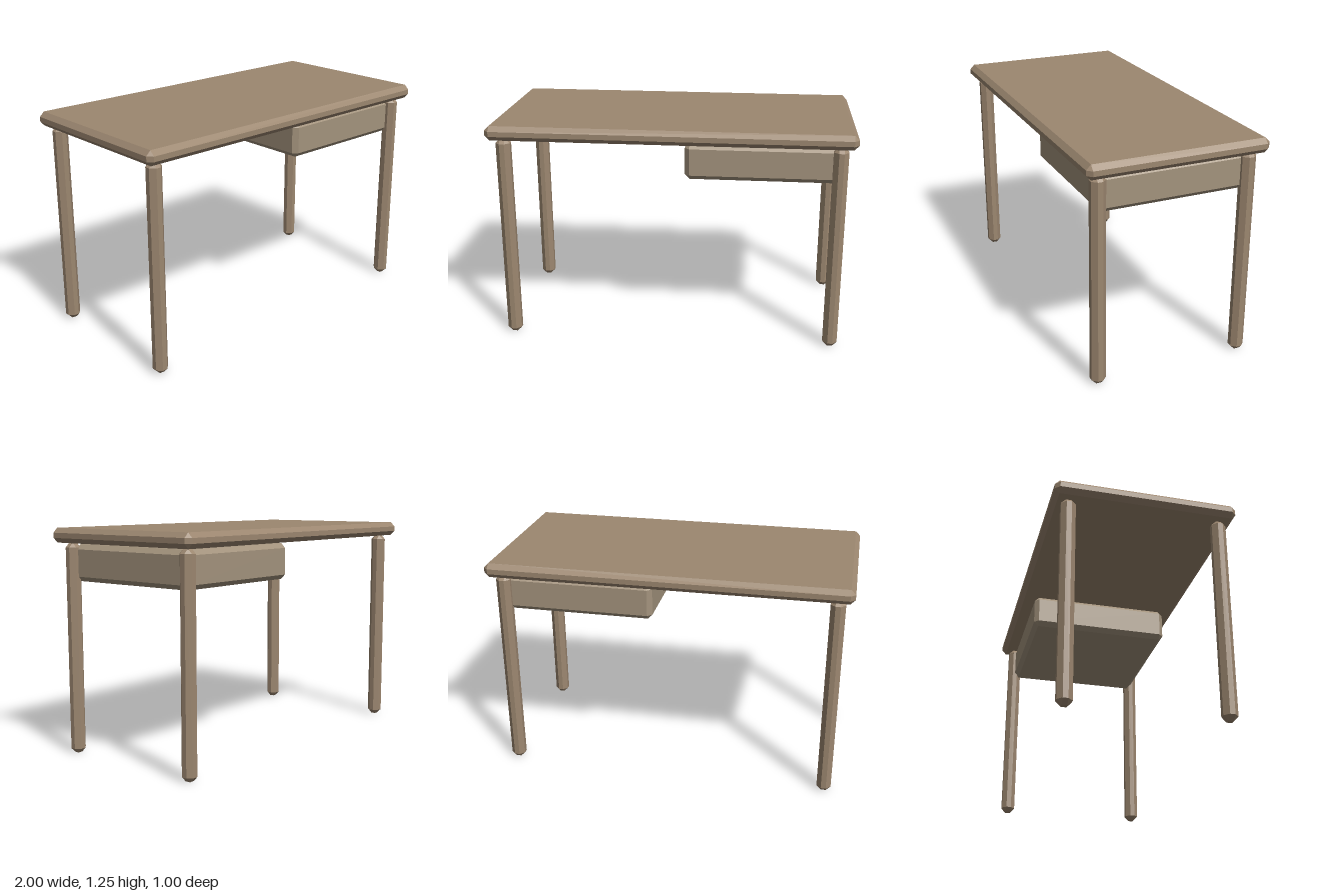
import * as THREE from 'three';
import { ConvexGeometry } from 'three/addons/geometries/ConvexGeometry.js';

const BEVEL = 0.026;
const wood = new THREE.MeshStandardMaterial({ color: 0x9c8770, flatShading: true });
const paleWood = new THREE.MeshStandardMaterial({ color: 0xa3937d, flatShading: true });

// Box with single-step chamfers on every edge and triangular corners
function chamferedBox(w, h, d, c = BEVEL) {
  const half = new THREE.Vector3(w / 2, h / 2, d / 2);
  const points = [];
  for (const sx of [-1, 1]) for (const sy of [-1, 1]) for (const sz of [-1, 1]) {
    for (const axis of ['x', 'y', 'z']) {
      const p = half.clone().subScalar(c);
      p[axis] += c;
      points.push(p.multiply(new THREE.Vector3(sx, sy, sz)));
    }
  }
  return new ConvexGeometry(points);
}

function addPart(group, name, geometry, material, x, y, z) {
  const mesh = new THREE.Mesh(geometry, material);
  mesh.name = name;
  mesh.position.set(x, y, z);
  group.add(mesh);
}

export function createModel() {
  const desk = new THREE.Group();
  desk.name = 'desk';

  // Table top
  addPart(desk, 'tableTop', chamferedBox(2, 0.08, 1), wood, 0, 1.21, 0);

  // Four legs
  const legGeometry = chamferedBox(0.08, 1.17, 0.08);
  for (const [side, x] of [['Left', 0.915], ['Right', -0.915]]) {
    for (const [end, z] of [['front', 0.417], ['back', -0.417]]) {
      addPart(desk, `${end}${side}Leg`, legGeometry, wood, x, 0.585, z);
    }
  }

  // Drawer box hung between the legs on the left
  addPart(desk, 'drawer', chamferedBox(0.835, 0.2, 0.83), paleWood, 0.4975, 1.06, 0);

  return desk;
}
